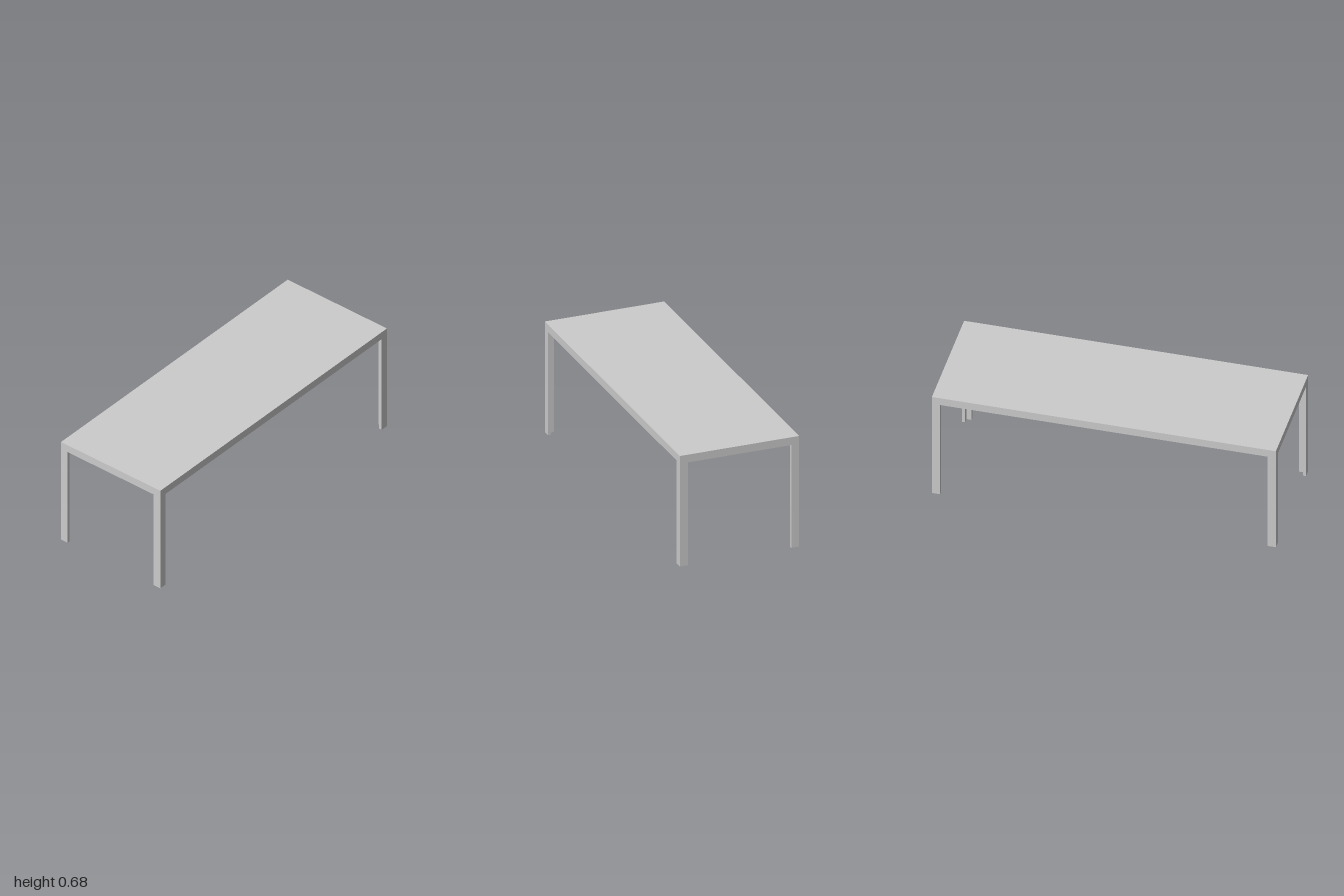
import * as THREE from 'three';

const HALF_W = 0.363, HALF_L = 1, HEIGHT = 0.682; // overall half width, half length, height
const RAIL = 0.048;  // rail height and leg width
const WALL = 0.018;  // thickness of rails and leg walls
const TOP = 0.012;   // table top thickness

export function createModel() {
  const group = new THREE.Group();
  const material = new THREE.MeshStandardMaterial({ color: 0xcccccc });

  const add = (name, geometry, x, y, z) => {
    const mesh = new THREE.Mesh(geometry, material);
    mesh.name = name;
    mesh.position.set(x, y, z);
    group.add(mesh);
    return mesh;
  };

  // Extrude a plan outline, given as [x, z] points, upwards from y = 0
  const prism = (points, height) => {
    const shape = new THREE.Shape(points.map(([x, z]) => new THREE.Vector2(x, -z)));
    return new THREE.ExtrudeGeometry(shape, { depth: height, bevelEnabled: false }).rotateX(-Math.PI / 2);
  };

  // Table top, flush with the outside of the frame
  add('tableTop', new THREE.BoxGeometry(HALF_W * 2, TOP, HALF_L * 2), 0, HEIGHT - TOP / 2, 0);

  // Rails below the edges, ending at the legs
  const drop = RAIL - TOP;
  const railY = HEIGHT - TOP - drop / 2;
  for (const s of [-1, 1]) {
    add('sideRail', new THREE.BoxGeometry(WALL, drop, (HALF_L - RAIL) * 2), s * (HALF_W - WALL / 2), railY, 0);
    add('endRail', new THREE.BoxGeometry((HALF_W - RAIL) * 2, drop, WALL), 0, railY, s * (HALF_L - WALL / 2));
  }

  // Lengthwise beam under the middle of the top
  add('centreBeam', new THREE.BoxGeometry(0.03, drop, (HALF_L - WALL) * 2), 0, railY, 0);

  // Angle-section legs, open towards the middle, with corner braces
  for (const sx of [-1, 1]) {
    for (const sz of [-1, 1]) {
      const corner = (points) => points.map(([x, z]) => [sx * (HALF_W - x), sz * (HALF_L - z)]);
      const leg = corner([[0, 0], [RAIL, 0], [RAIL, WALL], [WALL, WALL], [WALL, RAIL], [0, RAIL]]);
      add('leg', prism(leg, HEIGHT - TOP), 0, 0, 0);

      const brace = corner([[WALL, WALL], [0.085, WALL], [WALL, 0.085]]);
      add('cornerBrace', prism(brace, 0.02), 0, HEIGHT - TOP - 0.02, 0);
    }
  }
  return group;
}
